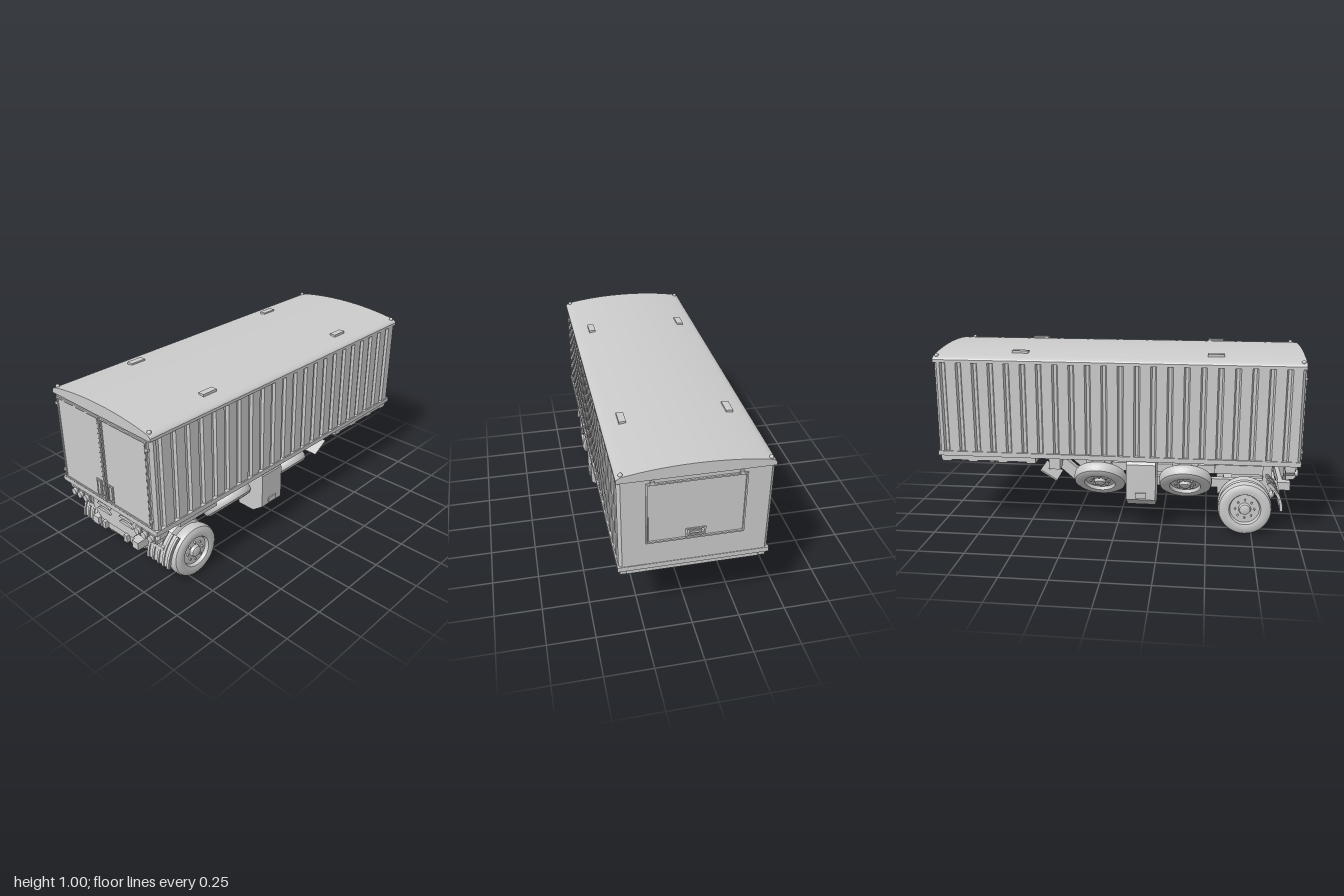
import * as THREE from 'three';
import { toCreasedNormals } from 'three/addons/utils/BufferGeometryUtils.js';

const mat = new THREE.MeshStandardMaterial({ color: 0xcccccc });

export function createModel() {
  const root = new THREE.Group();
  const add = (name, geo, x = 0, y = 0, z = 0, parent = root) => {
    const m = new THREE.Mesh(geo, mat);
    m.name = name;
    m.position.set(x, y, z);
    parent.add(m);
    return m;
  };
  const box = (name, x, y, z, w, h, d) => add(name, new THREE.BoxGeometry(w, h, d), x, y, z);
  // Box given by its limits
  const span = (name, x0, x1, y0, y1, z0, z1) =>
    box(name, (x0 + x1) / 2, (y0 + y1) / 2, (z0 + z1) / 2, Math.abs(x1 - x0), y1 - y0, z1 - z0);
  const shapeOf = pts => new THREE.Shape(pts.map(p => new THREE.Vector2(p[0], p[1])));
  const extrude = (shape, depth) =>
    new THREE.ExtrudeGeometry(shape, { depth, bevelEnabled: false, curveSegments: 20 }).translate(0, 0, -depth / 2);
  // Profile drawn in (z, y), extruded across x
  const sideExtrude = (name, shape, x, width) =>
    add(name, toCreasedNormals(extrude(shape, width).rotateY(-Math.PI / 2), 0.5), x);
  const cylZ = (name, x, y, z, r, len, r2 = r) =>
    add(name, new THREE.CylinderGeometry(r, r2, len, 24).rotateX(Math.PI / 2), x, y, z);
  const both = fn => [1, -1].forEach(fn);

  // Corrugated body: ribbed outline extruded upward
  const ribs = 22, pitch = 1.94 / ribs, side = [[0.355, -0.99], [0.371, -0.975]];
  for (let i = 0; i < ribs; i++) {
    const z = -0.97 + i * pitch;
    side.push([0.371, z + 0.012], [0.357, z + 0.02], [0.357, z + 0.036], [0.371, z + 0.044]);
  }
  side.push([0.371, 0.975], [0.355, 0.99]);
  const outline = [...side, ...side.map(([x, z]) => [-x, -z])];
  add('body', extrude(shapeOf(outline), 0.51).rotateX(-Math.PI / 2), 0, 0.69, 0);
  box('baseRail', 0, 0.425, 0, 0.755, 0.026, 1.985);

  // Arched roof with lamps and corner pins
  const roof = new THREE.Shape();
  roof.moveTo(-0.375, 0.935);
  roof.lineTo(0.375, 0.935);
  roof.lineTo(0.375, 0.951);
  roof.quadraticCurveTo(0.368, 0.964, 0.345, 0.97);
  roof.bezierCurveTo(0.24, 0.99, 0.12, 1, 0, 1);
  roof.bezierCurveTo(-0.12, 1, -0.24, 0.99, -0.345, 0.97);
  roof.quadraticCurveTo(-0.368, 0.964, -0.375, 0.951);
  add('roof', toCreasedNormals(extrude(roof, 1.99), 0.5));
  both(s => both(t => {
    box('roofVent', s * 0.27, 0.984, t * 0.53, 0.036, 0.018, 0.09);
    add('cornerPin', new THREE.SphereGeometry(0.011, 12, 8), s * 0.35, 0.971, t * 0.977);
  }));

  // Rectangular frame lying on an end wall
  const frame = (name, x0, x1, y0, y1, z, t, d) => {
    const s = shapeOf([[x0, y0], [x1, y0], [x1, y1], [x0, y1]]);
    s.holes.push(new THREE.Path([[x0 + t, y0 + t], [x0 + t, y1 - t], [x1 - t, y1 - t], [x1 - t, y0 + t]]
      .map(p => new THREE.Vector2(...p))));
    return add(name, extrude(s, d), 0, 0, z);
  };

  // Front doors
  both(s => {
    const a = Math.min(s * 0.006, s * 0.345), b = Math.max(s * 0.006, s * 0.345);
    frame('doorFrame', a, b, 0.445, 0.927, 0.992, 0.009, 0.012);
    span('door', a + 0.014, b - 0.014, 0.457, 0.914, 0.985, 0.995);
    frame('handleFrame', s * 0.045 - 0.02, s * 0.045 + 0.02, 0.465, 0.56, 0.996, 0.007, 0.008);
    box('doorHandle', s * 0.045, 0.512, 0.996, 0.018, 0.075, 0.008);
    [0.49, 0.885].forEach(y => box('hinge', s * 0.345, y, 0.994, 0.024, 0.015, 0.012));
  });

  // Rear hatch
  frame('hatchFrame', -0.24, 0.24, 0.57, 0.915, -0.992, 0.008, 0.014);
  box('hatch', 0, 0.743, -0.99, 0.456, 0.32, 0.008);
  frame('hatchHandleFrame', -0.05, 0.05, 0.585, 0.63, -0.994, 0.008, 0.01);
  box('hatchHandle', 0, 0.607, -0.995, 0.06, 0.012, 0.01);
  both(s => box('hatchHinge', s * 0.21, 0.917, -0.994, 0.02, 0.02, 0.012));

  // Chassis rails that step up toward the rear
  const rail = shapeOf([[0.88, 0.25], [0.88, 0.2], [-0.25, 0.2], [-0.45, 0.375], [-0.97, 0.375],
    [-0.97, 0.414], [-0.4, 0.414], [-0.21, 0.25]].reverse());
  both(s => {
    sideExtrude('chassisRail', rail, s * 0.12, 0.04);
    [0.84, 0.38, 0.14, -0.1].forEach(z => span('railPost', s * 0.1, s * 0.14, 0.24, 0.414, z - 0.025, z + 0.025));
    span('sideSill', s * 0.33, s * 0.365, 0.385, 0.414, -0.98, -0.45);
    // Angled plates and brackets behind the spare wheels
    span('plateBracket', s * 0.17, s * 0.25, 0.31, 0.414, -0.395, -0.33);
    box('angledPlate', s * 0.22, 0.292, -0.385, 0.17, 0.008, 0.11).rotation.x = 0.55;
    span('underfloorTray', s * 0.15, s * 0.33, 0.345, 0.395, 0.54, 0.8);
  });
  [-0.95, -0.8, -0.63, -0.47].forEach(z => span('rearCrossBeam', -0.365, 0.365, 0.378, 0.414, z - 0.025, z + 0.025));
  [0.62, 0.38, 0.14, -0.1].forEach(z => {
    span('floorBeam', -0.32, 0.32, 0.38, 0.414, z - 0.035, z + 0.035);
    span('railCrossBeam', -0.11, 0.11, 0.205, 0.245, z - 0.025, z + 0.025);
  });

  // Coupling pin under the rear
  add('couplingPlate', new THREE.CylinderGeometry(0.09, 0.09, 0.012, 32), 0, 0.376, -0.8);
  add('couplingPin', toCreasedNormals(new THREE.LatheGeometry([[0, 0.26], [0.013, 0.26], [0.015, 0.325],
    [0.026, 0.345], [0.028, 0.38]].map(p => new THREE.Vector2(...p)), 24), 0.5), 0, 0, -0.8);

  // Wheel: tyre, rim, hub and bolts, outer face along local +y
  const wheelGeo = h => toCreasedNormals(new THREE.LatheGeometry([[0, -0.01], [0.08, -0.01], [0.087, -h * 0.95],
    [0.1, -h * 1.03], [0.125, -h], [0.141, -h * 0.75], [0.147, -h * 0.4], [0.148, 0], [0.147, h * 0.4],
    [0.141, h * 0.75], [0.125, h], [0.1, h * 1.03], [0.087, h * 0.95], [0.08, h * 0.45], [0.034, h * 0.5],
    [0.028, h * 0.95], [0.018, h * 1.05], [0, h * 1.05]].map(p => new THREE.Vector2(...p)), 40), 0.6);
  const wheel = (name, x, y, z, h, angle) => {
    const g = new THREE.Group();
    g.name = name;
    g.position.set(x, y, z);
    g.rotation.z = angle;
    add('tyreAndRim', wheelGeo(h), 0, 0, 0, g);
    for (let i = 0; i < 8; i++) {
      const a = i * Math.PI / 4;
      add('bolt', new THREE.CylinderGeometry(0.006, 0.006, 0.012, 6), 0.052 * Math.cos(a), h * 0.5 + 0.004, 0.052 * Math.sin(a), g);
    }
    root.add(g);
  };

  both(s => {
    // Twin road wheels
    wheel('outerWheel', s * 0.311, 0.148, 0.71, 0.038, -s * Math.PI / 2);
    wheel('innerWheel', s * 0.225, 0.148, 0.71, 0.038, -s * Math.PI / 2);
    // Tilted spare wheels with carriers
    [0.38, -0.1].forEach(z => {
      wheel('spareWheel', s * 0.245, 0.268, z, 0.037, -s * Math.PI * 0.75);
      span('spareCarrier', s * 0.18, s * 0.31, 0.37, 0.414, z - 0.07, z + 0.07);
      const arm = box('spareArm', s * 0.19, 0.32, z, 0.09, 0.03, 0.06);
      arm.rotation.z = -s * Math.PI / 4;
    });
    // Tool locker with chamfered bottom
    const p = [[0.19, 0.41], [0.19, 0.14], [0.3, 0.14], [0.367, 0.19], [0.367, 0.39], [0.35, 0.41]].map(([x, y]) => [s * x, y]);
    add('locker', extrude(shapeOf(p), 0.16), 0, 0, 0.14);
    box('lockerHandle', s * 0.368, 0.215, 0.14, 0.014, 0.03, 0.06);

    // Curved mudguard with ribs
    const arc = (r0, r1, a1) => {
      const sh = new THREE.Shape();
      sh.absarc(0.71, 0.15, r1, 0, a1, false);
      sh.absarc(0.71, 0.15, r0, a1, 0, true);
      return sh;
    };
    sideExtrude('mudguard', arc(0.187, 0.196, 0.92), s * 0.27, 0.17);
    [0.195, 0.232, 0.27, 0.308, 0.345].forEach(x => sideExtrude('mudguardRib', arc(0.19, 0.203, 0.9), s * x, 0.014));
    span('mudguardArm', s * 0.12, s * 0.3, 0.225, 0.25, 0.87, 0.895);

    // Lamp cluster and its bracket
    span('lampBox', s * 0.185, s * 0.338, 0.33, 0.388, 0.92, 0.965);
    [0.21, 0.26, 0.31].forEach(x => {
      box('lampBezel', s * x, 0.359, 0.967, 0.042, 0.046, 0.01);
      cylZ('lamp', s * x, 0.359, 0.975, 0.018, 0.022);
    });
    const brace = [[0.335, 0.4], [0.335, 0.35], [0.365, 0.375], [0.365, 0.4]].map(([x, y]) => [s * x, y]);
    add('lampBracket', extrude(shapeOf(brace), 0.05), 0, 0, 0.94);

    // Louvres in the front panel
    [0.385, 0.352, 0.32].forEach(y => {
      const l = new THREE.Shape();
      l.absellipse(0, 0, 0.052, 0.02, 0, Math.PI, false);
      add('louvre', extrude(l, 0.024), s * 0.09, y, 0.948);
    });

    // Air tanks with stepped caps
    cylZ('airTank', s * 0.11, 0.163, 0.8, 0.028, 0.14);
    cylZ('airTankCap', s * 0.11, 0.163, 0.875, 0.018, 0.02, 0.028);
    box('towBracket', s * 0.088, 0.24, 0.95, 0.024, 0.042, 0.035);
    box('beamEnd', s * 0.162, 0.235, 0.93, 0.045, 0.045, 0.07);
    span('axleSpring', s * 0.1, s * 0.14, 0.165, 0.205, 0.56, 0.86);
  });

  // Front panel and beams
  add('frontPanel', extrude(shapeOf([[-0.125, 0.255], [0.125, 0.255], [0.17, 0.3], [0.19, 0.3], [0.19, 0.414],
    [-0.19, 0.414], [-0.19, 0.3], [-0.17, 0.3]]), 0.025), 0, 0, 0.937);
  span('upperBeam', -0.365, 0.365, 0.388, 0.414, 0.91, 0.965);
  span('lowerBeam', -0.175, 0.175, 0.215, 0.255, 0.9, 0.945);
  span('lowerRail', -0.185, 0.185, 0.187, 0.207, 0.87, 0.9);

  // Axle
  box('axle', 0, 0.135, 0.71, 0.4, 0.05, 0.06);
  return root;
}
